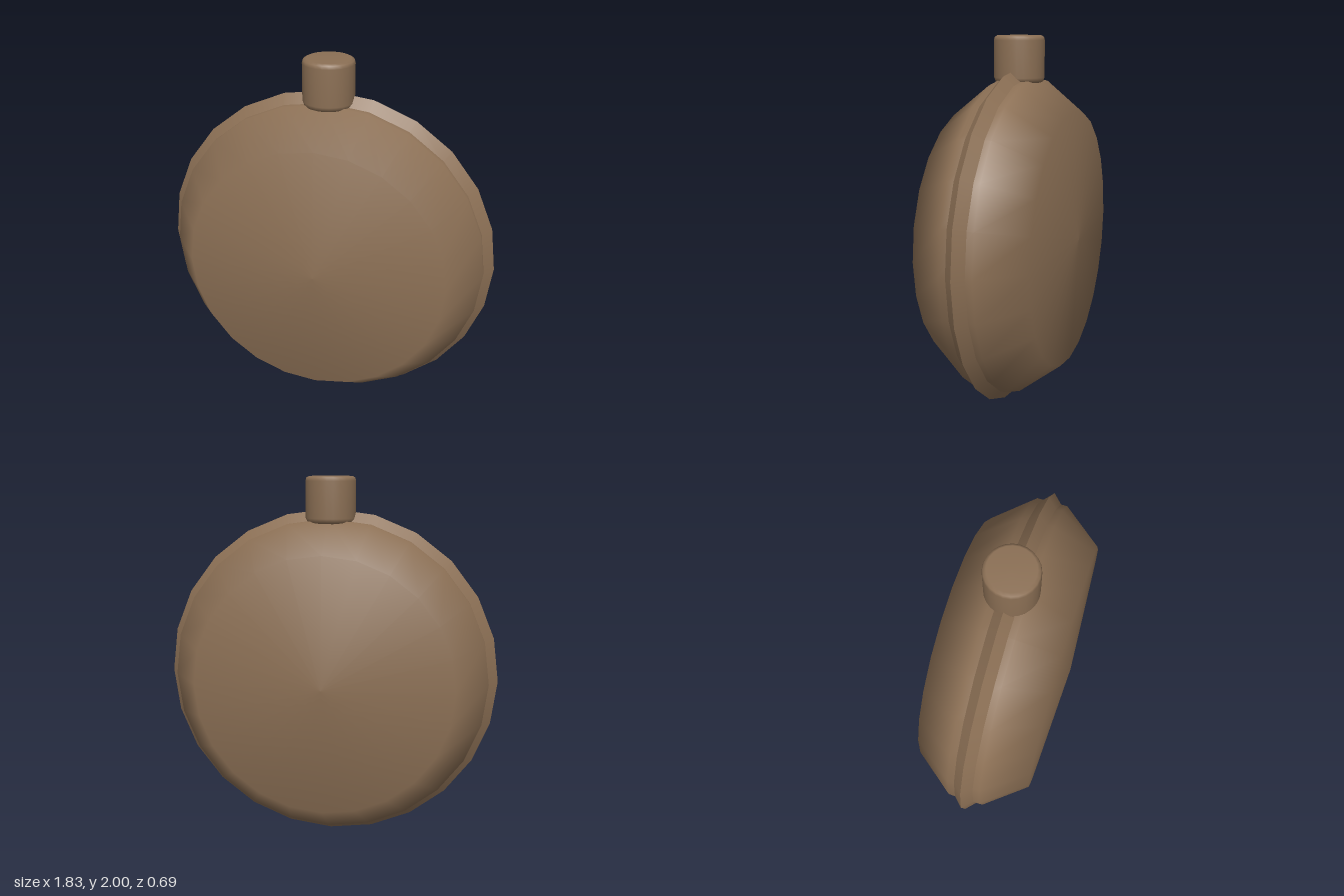
import * as THREE from 'three';

const SIDES = 24;
const CENTER_Y = 0.915;

// Revolves a list of [radius, height] pairs, listed from low to high
function lathe(name, profile, material, sides = SIDES) {
  const points = profile.map(([r, h]) => new THREE.Vector2(r, h));
  const mesh = new THREE.Mesh(new THREE.LatheGeometry(points, sides), material);
  mesh.name = name;
  return mesh;
}

export function createModel() {
  const leather = new THREE.MeshStandardMaterial({ color: 0x8c7055 });
  leather.name = 'brown leather';

  const flask = new THREE.Group();
  flask.name = 'flask';

  // Round flattened body, revolved about the front-to-back axis
  const disc = new THREE.Group();
  disc.name = 'disc';
  disc.rotation.x = Math.PI / 2;
  disc.position.y = CENTER_Y;
  flask.add(disc);

  disc.add(lathe('body', [
    [0, -0.345], [0.695, -0.305], [0.865, -0.085],
    [0.865, 0.085], [0.695, 0.305], [0, 0.345],
  ], leather));

  // Pointed seam round the edge: two cones meeting in a sharp ridge
  disc.add(lathe('seamBack', [[0.86, -0.055], [0.915, 0]], leather));
  disc.add(lathe('seamFront', [[0.915, 0], [0.86, 0.055]], leather));

  // Neck with softened ends
  flask.add(lathe('neck', [
    [0, 1.75], [0.105, 1.75], [0.127, 1.76], [0.135, 1.782],
    [0.135, 1.975], [0.13, 1.992], [0.115, 2], [0, 2],
  ], leather));

  return flask;
}
